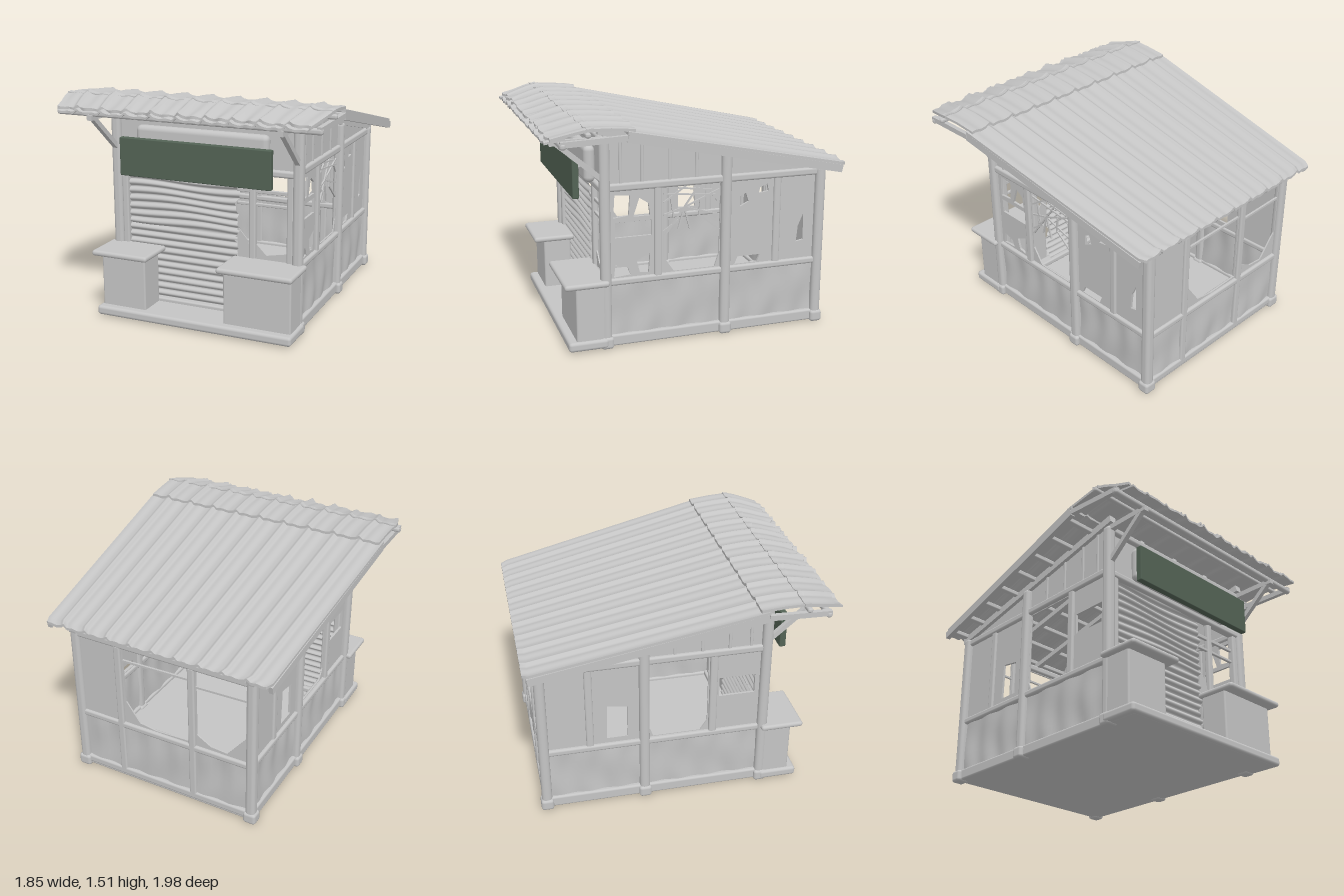
import * as THREE from 'three';
import { RoundedBoxGeometry } from 'three/addons/geometries/RoundedBoxGeometry.js';

export function createModel() {
  const root = new THREE.Group();
  root.name = 'kiosk';
  const grey = new THREE.MeshStandardMaterial({ color: 0xc4c4c4, side: THREE.DoubleSide });
  grey.name = 'weathered grey';
  const green = new THREE.MeshStandardMaterial({ color: 0x536355 });
  green.name = 'sign green';

  const add = (name, geo, mat = grey) => {
    const m = new THREE.Mesh(geo, mat);
    m.name = name;
    root.add(m);
    return m;
  };
  // Block given by its limits, with softly rounded edges
  const block = (name, x0, x1, y0, y1, z0, z1, r = 0.012, mat = grey) => {
    const g = new RoundedBoxGeometry(x1 - x0, y1 - y0, z1 - z0, 2, r);
    g.translate((x0 + x1) / 2, (y0 + y1) / 2, (z0 + z1) / 2);
    return add(name, g, mat);
  };
  // Square bar between two points
  const bar = (name, a, b, w, h = w) => {
    const p = new THREE.Vector3(...a), q = new THREE.Vector3(...b);
    const m = add(name, new THREE.BoxGeometry(w, h, p.distanceTo(q)));
    m.position.copy(p).lerp(q, 0.5);
    m.lookAt(q);
    return m;
  };
  const rect = (u0, u1, v0, v1) => [[u0, v0], [u1, v0], [u1, v1], [u0, v1]];
  // Flat panel with holes; axis 'x' puts it in a side wall (u is z), 'z' in a front or back wall (u is x)
  const panel = (name, axis, at, outline, holes = [], t = 0.016) => {
    const vec = (l) => l.map(([u, v]) => new THREE.Vector2(u, v));
    const s = new THREE.Shape(vec(outline));
    holes.forEach((h) => s.holes.push(new THREE.Path(vec(h))));
    const g = new THREE.ExtrudeGeometry(s, { depth: t, bevelEnabled: false });
    g.translate(0, 0, -t / 2);
    if (axis === 'x') g.rotateY(-Math.PI / 2).translate(at, 0, 0);
    else g.translate(0, 0, at);
    return add(name, g);
  };
  // Dented sheet: a panel with gentle folds running up it
  const dented = (name, axis, at, u0, u1, v0, v1) => {
    const g = new THREE.BoxGeometry(u1 - u0, v1 - v0, 0.014, 28, 8, 1);
    g.translate((u0 + u1) / 2, (v0 + v1) / 2, 0);
    const p = g.attributes.position;
    for (let i = 0; i < p.count; i++) {
      const u = p.getX(i), v = p.getY(i);
      p.setZ(i, p.getZ(i) + 0.006 * Math.sin(u * 31 + 2 * Math.sin(v * 6)) + 0.003 * Math.sin(v * 17 + u * 9));
    }
    if (axis === 'x') g.rotateY(-Math.PI / 2).translate(at, 0, 0);
    else g.translate(0, 0, at);
    g.computeVertexNormals();
    return add(name, g);
  };
  const roofY = (z) => 1.135 + (z + 0.98) * 0.216;

  // Base slab, corner feet and posts
  block('base', -0.66, 0.66, 0.01, 0.06, -0.9, 0.82);
  block('frontPlinth', -0.69, 0.69, 0.012, 0.075, 0.58, 0.84, 0.02);
  for (const s of [-1, 1]) {
    for (const z of [0.585, -0.22, -0.885]) {
      const x = s * 0.64;
      block('foot', x - 0.045, x + 0.045, 0, 0.08, z - 0.042, z + 0.042, 0.02);
      block('post', x - 0.034, x + 0.034, 0.05, z > 0 ? 1.38 : roofY(z) - 0.06, z - 0.034, z + 0.034, 0.026);
    }
  }

  // Side walls
  for (const s of [-1, 1]) {
    const x = s * 0.635;
    block('sideSill', x - 0.025, x + 0.025, 0.42, 0.465, -0.89, 0.58, 0.015);
    block('sideHeader', x - 0.025, x + 0.025, 1.035, 1.085, -0.89, 0.58, 0.015);
    block('sideSkirt', x - 0.025, x + 0.025, 0.03, 0.085, -0.89, 0.58, 0.015);
    dented('lowerSideWall', 'x', s * 0.63, -0.22, 0.58, 0.06, 0.43);
    dented('lowerSideWall', 'x', s * 0.63, -0.88, -0.22, 0.06, 0.43);
    block('mullion', x - 0.022, x + 0.022, 0.45, 1.05, 0.213, 0.265);
    block('mullion', x - 0.018, x + 0.018, 0.45, 1.05, -0.605, -0.555);
    panel('gableWall', 'x', s * 0.63, [[-0.88, 1.06], [0.59, 1.06], [0.59, 1.4], [-0.88, 1.1]]);
    for (const z of [-0.02, 0.16, 0.34, 0.48]) block('gableBatten', x - 0.012, x + 0.012, 1.07, roofY(z) - 0.05, z - 0.01, z + 0.01, 0.005);
    // Sloping beam over the wall, and edge beam of the eaves
    bar('gableBeam', [s * 0.64, roofY(-0.93) - 0.055, -0.93], [s * 0.64, roofY(0.62) - 0.055, 0.62], 0.05);
    bar('eaveBeam', [s * 0.79, roofY(-0.96) - 0.035, -0.96], [s * 0.885, roofY(0.5) - 0.035, 0.5], 0.03, 0.05);
    bar('frontEaveBeam', [s * 0.885, roofY(0.5) - 0.035, 0.5], [s * 0.87, 1.4, 0.9], 0.03, 0.035);
    // Front bracket
    bar('bracketArm', [s * 0.64, 1.365, 0.58], [s * 0.64, 1.365, 0.92], 0.035);
    bar('bracketStrut', [s * 0.64, 1.12, 0.6], [s * 0.64, 1.36, 0.88], 0.032);
  }
  // Broken panes on the left side
  panel('crackedPane', 'x', 0.63, rect(0.26, 0.555, 0.46, 1.04), [
    rect(0.28, 0.52, 0.73, 0.83),
    [[0.29, 0.86], [0.4, 0.86], [0.36, 0.98], [0.3, 0.94]],
    [[0.43, 0.87], [0.53, 0.86], [0.52, 1.01], [0.42, 1.0]],
    [[0.3, 0.48], [0.36, 0.49], [0.38, 0.57], [0.29, 0.61]],
    [[0.42, 0.48], [0.53, 0.47], [0.52, 0.55], [0.44, 0.53]],
  ]);
  panel('patchedPane', 'x', 0.63, rect(-0.56, -0.24, 0.46, 1.04), [
    [[-0.38, 0.89], [-0.32, 0.86], [-0.32, 0.93], [-0.36, 0.95]],
    [[-0.52, 0.95], [-0.45, 0.94], [-0.46, 0.98], [-0.51, 1.0]],
    [[-0.45, 0.47], [-0.29, 0.47], [-0.31, 0.52], [-0.47, 0.52]],
  ]);
  panel('slitPane', 'x', 0.63, rect(-0.87, -0.6, 0.46, 1.04), [[[-0.78, 0.59], [-0.73, 0.58], [-0.74, 0.69], [-0.775, 0.77]]]);
  panel('brokenWindow', 'x', 0.63, rect(-0.195, 0.215, 0.455, 1.04), [
    [[-0.15, 0.47], [0.13, 0.47], [0.205, 0.58], [0.205, 1.03], [-0.185, 1.03], [-0.18, 0.56]],
  ], 0.01);
  // Web of cracked glass in the large window, as pairs of (z, y)
  [
    [0.2, 0.99, -0.18, 0.95], [0.2, 0.93, 0.05, 1.03], [0.2, 0.85, 0.06, 0.89], [0.06, 0.89, -0.18, 0.99],
    [0.06, 0.89, -0.04, 1.03], [0.06, 0.89, -0.18, 0.82], [0.06, 0.89, 0.1, 0.75], [0.06, 0.89, 0.02, 0.74],
    [0.06, 0.89, 0.2, 0.7], [0.15, 0.96, 0.13, 0.83], [-0.05, 0.93, -0.04, 0.83], [-0.12, 0.97, -0.18, 0.9],
    [0.2, 0.74, 0.1, 0.81], [-0.04, 0.83, -0.18, 0.72], [0.1, 1.02, -0.14, 0.99],
  ].forEach(([z0, y0, z1, y1]) => bar('crackedGlass', [0.63, y0, z0], [0.63, y1, z1], 0.01));
  // Panes on the right side
  panel('rightPane', 'x', -0.63, rect(0.26, 0.555, 0.46, 1.04), [rect(0.28, 0.52, 0.72, 0.86)]);
  panel('rightPane', 'x', -0.63, rect(-0.56, -0.24, 0.46, 1.04), [[[-0.47, 0.5], [-0.33, 0.5], [-0.33, 0.73], [-0.46, 0.75]]]);
  panel('rightPane', 'x', -0.63, rect(-0.87, -0.6, 0.46, 1.04));
  panel('brokenWindow', 'x', -0.63, rect(-0.195, 0.215, 0.455, 1.04), [
    [[-0.16, 0.47], [0.16, 0.47], [0.205, 0.54], [0.205, 1.03], [-0.185, 1.03], [-0.185, 0.53]],
  ], 0.01);

  // Back wall
  block('backSill', -0.64, 0.64, 0.42, 0.465, -0.91, -0.86, 0.015);
  block('backHeader', -0.64, 0.64, 1.035, 1.085, -0.91, -0.86, 0.015);
  block('backSkirt', -0.64, 0.64, 0.03, 0.085, -0.91, -0.86, 0.015);
  for (const x of [0.32, -0.22]) block('backMullion', x - 0.025, x + 0.025, 0.06, 1.05, -0.91, -0.865);
  dented('lowerBackWall', 'z', -0.885, -0.62, 0.62, 0.06, 0.43);
  panel('backPane', 'z', -0.885, rect(0.33, 0.62, 0.455, 1.04));
  panel('brokenBackWindow', 'z', -0.885, rect(-0.21, 0.31, 0.455, 1.04), [
    [[-0.19, 0.48], [0.05, 0.47], [0.18, 0.49], [0.28, 0.63], [0.29, 1.03], [-0.19, 1.03]],
  ], 0.01);
  panel('brokenBackWindow', 'z', -0.885, rect(-0.62, -0.23, 0.455, 1.04), [
    [[-0.6, 0.64], [-0.47, 0.48], [-0.35, 0.49], [-0.25, 0.55], [-0.25, 1.03], [-0.6, 1.03]],
  ], 0.01);
  bar('backWindowBar', [-0.6, 0.92, -0.885], [-0.22, 0.91, -0.885], 0.014);
  bar('backWindowBar', [-0.22, 0.95, -0.885], [0.3, 0.94, -0.885], 0.014);

  // Front wall, shutter opening and side window
  panel('frontFascia', 'z', 0.575, rect(-0.62, 0.62, 1.03, 1.38));
  block('frontHeader', -0.64, 0.64, 1.02, 1.065, 0.55, 0.61, 0.015);
  block('frontTopBeam', -0.66, 0.66, 1.34, 1.385, 0.555, 0.615, 0.015);
  block('awningHousing', -0.46, 0.46, 1.05, 1.29, 0.59, 0.665, 0.035);
  block('shutterGuide', -0.61, -0.565, 0.07, 1.04, 0.545, 0.6);
  block('windowPost', 0.305, 0.35, 0.44, 1.04, 0.55, 0.59);
  block('windowJamb', 0.565, 0.61, 0.07, 1.04, 0.55, 0.6);
  block('windowRail', 0.22, 0.58, 0.815, 0.835, 0.56, 0.58, 0.005);
  block('windowRail', 0.22, 0.58, 0.9, 0.925, 0.56, 0.58, 0.005);
  panel('windowShard', 'z', 0.565, [[0.22, 0.46], [0.31, 0.46], [0.29, 0.58], [0.22, 0.66]], [], 0.008);
  panel('windowShard', 'z', 0.565, [[0.35, 0.46], [0.57, 0.46], [0.57, 0.52], [0.42, 0.49], [0.35, 0.56]], [], 0.008);
  block('threshold', -0.6, 0.62, 0.06, 0.1, 0.53, 0.6);

  // Rolling shutter with bulging slats and a ragged free edge
  const shutter = new THREE.PlaneGeometry(0.79, 0.96, 16, 152);
  const sp = shutter.attributes.position;
  for (let i = 0; i < sp.count; i++) {
    const x = sp.getX(i), y = sp.getY(i) + 0.56, edge = (x + 0.395) / 0.79;
    const bend = y > 0.6 ? 0.008 * Math.sin(x * 7 + y * 11) : 0;
    const nick = edge > 0.95 ? 0.02 * Math.sin(y * 41) * Math.sin(y * 13) : 0;
    sp.setXYZ(i, x - 0.175 + nick, y + bend, 0.555 + 0.024 * Math.abs(Math.sin((y / 0.05) * Math.PI)));
  }
  shutter.computeVertexNormals();
  add('rollingShutter', shutter);

  // Serving counters
  for (const [x0, x1] of [[-0.67, -0.35], [0.21, 0.67]]) {
    const out = x0 < 0 ? [0.035, 0.05] : [0.02, 0.03];
    block('counterBody', x0, x1, 0.06, 0.44, 0.59, 0.785, 0.012);
    block('counterTop', x0 - out[0], x1 + out[1], 0.43, 0.468, 0.57, 0.86, 0.018);
  }

  // Sign board
  block('signBoard', -0.525, 0.52, 0.972, 1.222, 0.715, 0.757, 0.006, green);
  for (const x of [-0.35, 0.35]) bar('signHanger', [x, 1.15, 0.72], [x, 1.15, 0.6], 0.025);

  // Roof framing
  for (let i = 0; i < 8; i++) {
    const z = -0.9 + i * 0.19, w = 0.79 + (z + 0.95) * 0.063;
    block('purlin', -w, w, roofY(z) - 0.045, roofY(z) - 0.012, z - 0.018, z + 0.018, 0.008);
  }
  for (const x of [-0.32, 0, 0.32]) bar('rafter', [x, roofY(-0.9) - 0.065, -0.9], [x, roofY(0.58) - 0.065, 0.58], 0.035);
  block('frontBeam', -0.89, 0.89, 1.37, 1.41, 0.865, 0.905, 0.016);
  block('ridgeBar', -0.925, 0.925, 1.44, 1.47, 0.725, 0.76, 0.012);

  // Ribbed roof sheets; each row is z, y and half width, from back to front
  const sheet = (name, rows, rag, t = 0.018) => {
    const nz = rows.length - 1;
    const g = new THREE.BoxGeometry(2, t, 1, 190, 1, nz);
    const p = g.attributes.position;
    for (let i = 0; i < p.count; i++) {
      const k = Math.round((p.getZ(i) + 0.5) * nz), u = p.getX(i);
      const [z, y, w] = rows[k];
      const d = (u / 0.21 + 50.5) % 1 - 0.5;
      const rib = 0.018 * Math.exp(-((d / 0.09) ** 2)) + 0.003 * Math.sin(u * 60);
      const wear = k === nz ? rag * (Math.sin(u * 23) + 0.6 * Math.sin(u * 57 + 1)) : 0;
      p.setXYZ(i, u * w, p.getY(i) + y + rib + wear * 0.4, z + wear);
    }
    g.computeVertexNormals();
    add(name, g);
  };
  sheet('mainRoof', [[-0.99, 1.133, 0.775], [-0.95, 1.142, 0.8], [0.5, 1.452, 0.9]], 0.003);
  sheet('upperRoof', [[0.45, 1.462, 0.885], [0.6, 1.477, 0.89], [0.75, 1.482, 0.9]], 0.004);
  sheet('frontCanopy', [[0.71, 1.487, 0.905], [0.8, 1.468, 0.89], [0.88, 1.445, 0.865], [0.955, 1.424, 0.84]], 0.009);
  sheet('canopyLip', [[0.86, 1.425, 0.83], [0.985, 1.405, 0.825]], 0.004, 0.014);

  return root;
}
